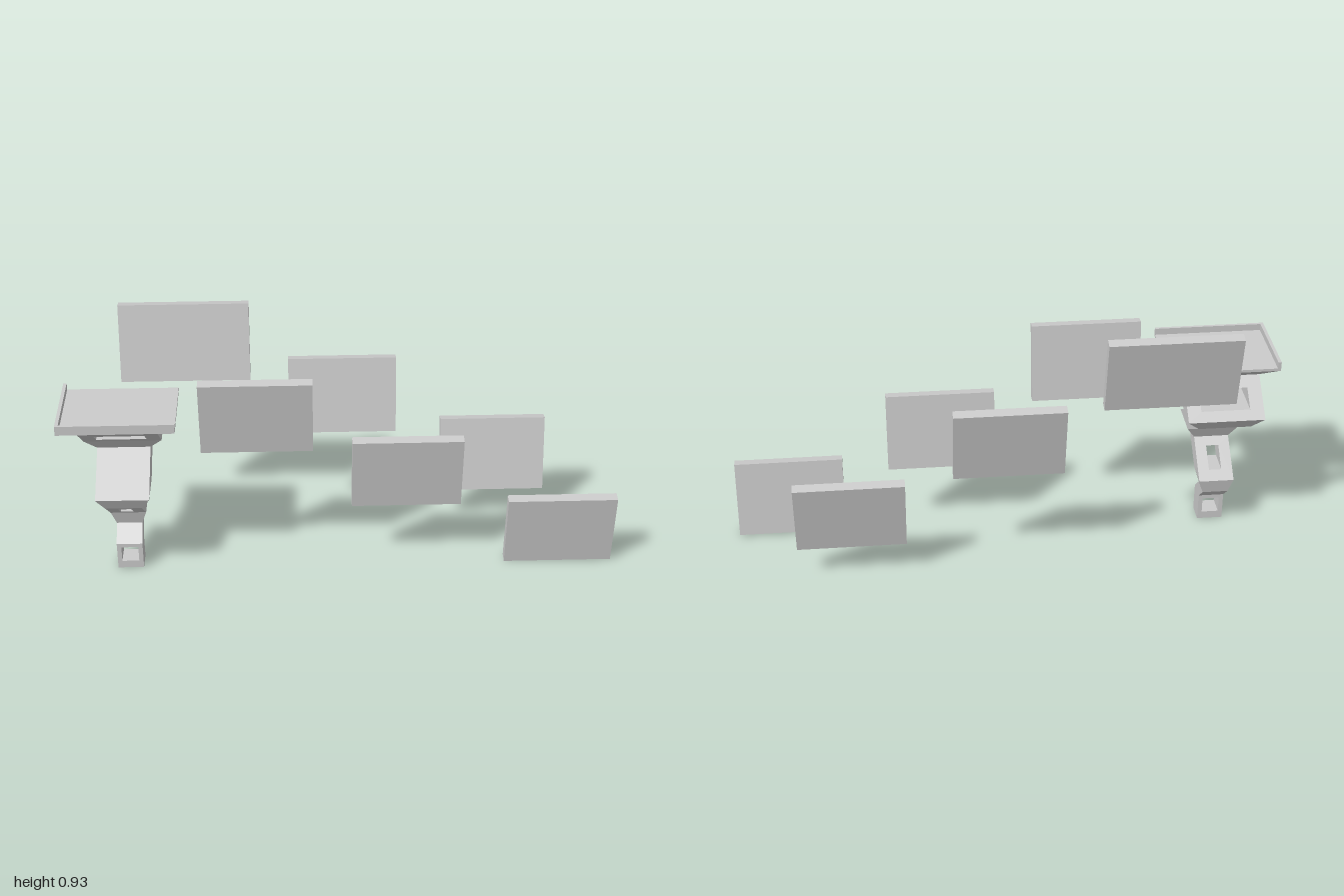
import * as THREE from 'three';

const material = new THREE.MeshStandardMaterial({ color: 0xcccccc, flatShading: true });
const CX = -0.793;

// Column cross-sections from the ground up: [y, width, back z, front z]
const sections = [
  [0.0, 0.095, 0.03, 0.105],
  [0.105, 0.095, 0.03, 0.105],
  [0.16, 0.095, -0.03, 0.045],
  [0.215, 0.13, -0.04, 0.06],
  [0.327, 0.13, 0.1, 0.202],
  [0.375, 0.192, 0.08, 0.225],
  [0.487, 0.192, -0.102, 0.043],
  [0.53, 0.28, -0.13, 0.07],
  [0.64, 0.28, 0.01, 0.21],
  [0.676, 0.408, -0.035, 0.26],
];

// Window openings by segment, as fractions: [width, bottom, top]
const windows = { 0: [0.66, 0.28, 0.86], 3: [0.36, 0.25, 0.79], 7: [0.64, 0.24, 0.72] };

// Unit block (with optional window) fitted between two cross-sections
function segment(a, b, opening) {
  const shape = new THREE.Shape();
  shape.moveTo(-0.5, 0).lineTo(0.5, 0).lineTo(0.5, 1).lineTo(-0.5, 1).closePath();
  if (opening) {
    const [w, y0, y1] = opening;
    const hole = new THREE.Path();
    hole.moveTo(-w / 2, y0).lineTo(-w / 2, y1).lineTo(w / 2, y1).lineTo(w / 2, y0).closePath();
    shape.holes.push(hole);
  }
  const geometry = new THREE.ExtrudeGeometry(shape, { depth: 1, bevelEnabled: false });
  const p = geometry.attributes.position;
  for (let i = 0; i < p.count; i++) {
    const t = p.getY(i);
    const [y, width, back, front] = a.map((v, k) => THREE.MathUtils.lerp(v, b[k], t));
    p.setXYZ(i, CX + p.getX(i) * width, y, THREE.MathUtils.lerp(back, front, p.getZ(i)));
  }
  geometry.computeVertexNormals();
  return geometry;
}

// Box given by its extents
function box(name, x0, x1, y0, y1, z0, z1) {
  const mesh = new THREE.Mesh(new THREE.BoxGeometry(x1 - x0, y1 - y0, z1 - z0), material);
  mesh.position.set((x0 + x1) / 2, (y0 + y1) / 2, (z0 + z1) / 2);
  mesh.name = name;
  return mesh;
}

// Tilted slab: centre, size and lean about x
function panel(name, x, y, z, width, height, lean) {
  const mesh = new THREE.Mesh(new THREE.BoxGeometry(width, height, 0.038), material);
  mesh.position.set(x, y, z);
  mesh.rotation.x = lean;
  mesh.name = name;
  return mesh;
}

export function createModel() {
  const model = new THREE.Group();
  model.name = 'steppedPanelsAndColumn';

  // Zigzag column, widening upwards
  const column = new THREE.Group();
  column.name = 'zigzagColumn';
  for (let i = 0; i < sections.length - 1; i++) {
    const mesh = new THREE.Mesh(segment(sections[i], sections[i + 1], windows[i]), material);
    mesh.name = 'columnSegment' + (i + 1);
    column.add(mesh);
  }
  model.add(column);

  // Platform with a rim along the front and the outer side
  const platform = new THREE.Group();
  platform.name = 'platform';
  platform.add(
    box('platformFloor', -0.997, -0.589, 0.676, 0.686, -0.035, 0.26),
    box('frontRim', -1, -0.589, 0.676, 0.711, 0.259, 0.27),
    box('sideRim', -1, -0.988, 0.676, 0.711, -0.035, 0.26),
  );
  model.add(platform);

  // Front row of panels, leaning forward
  [[-0.311, 0.662, 0.138], [0.229, 0.408, 0.115], [0.8, 0.148, 0.115]].forEach(([x, y, z]) =>
    model.add(panel('frontPanel', x, y, z, 0.4, 0.293, 0.137)));

  // Back row of panels, leaning backward
  [[-0.57, 0.786, -0.199, 0.472], [0.005, 0.544, -0.219, 0.4], [0.577, 0.274, -0.221, 0.397]].forEach(([x, y, z, w]) =>
    model.add(panel('backPanel', x, y, z, w, 0.29, -0.19)));

  return model;
}
